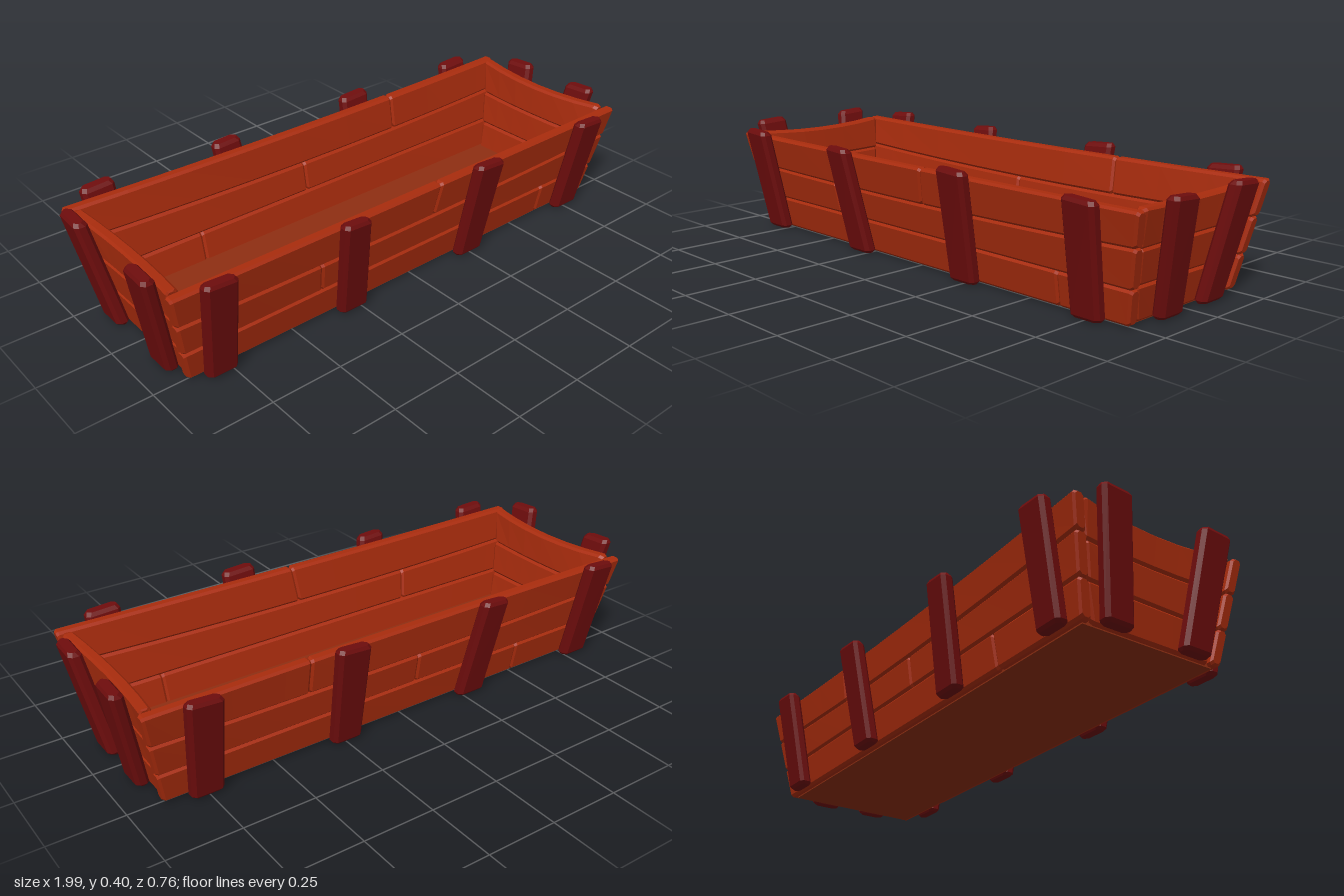
import * as THREE from 'three';

const plankRed = new THREE.MeshStandardMaterial({ color: 0xa92c0d });
const postRed = new THREE.MeshStandardMaterial({ color: 0x6f0d0d });
const floorBrown = new THREE.MeshStandardMaterial({ color: 0x8f2e12 });
plankRed.name = 'plank orange-red';
postRed.name = 'post dark red';
floorBrown.name = 'floor brown';

// Flat-shaded solid through a list of matching cross-sections, closed at both ends
function loft(rings) {
  const pos = [];
  const tri = (a, b, c) => pos.push(...a, ...b, ...c);
  const n = rings[0].length;
  for (let i = 0; i < rings.length - 1; i++) {
    for (let j = 0; j < n; j++) {
      const k = (j + 1) % n;
      tri(rings[i][j], rings[i][k], rings[i + 1][k]);
      tri(rings[i][j], rings[i + 1][k], rings[i + 1][j]);
    }
  }
  const first = rings[0], last = rings[rings.length - 1];
  for (let j = 1; j < n - 1; j++) {
    tri(first[0], first[j + 1], first[j]);
    tri(last[0], last[j], last[j + 1]);
  }
  const g = new THREE.BufferGeometry();
  g.setAttribute('position', new THREE.Float32BufferAttribute(pos, 3));
  g.computeVertexNormals();
  return g;
}

// Rectangle with cut corners, counter-clockwise
function octagon(p0, p1, q0, q1, b, inset) {
  p0 += inset; p1 -= inset; q0 += inset; q1 -= inset;
  return [[p1, q0 + b], [p1, q1 - b], [p1 - b, q1], [p0 + b, q1],
    [p0, q1 - b], [p0, q0 + b], [p0 + b, q0], [p1 - b, q0]];
}

function add(group, name, geometry, material) {
  const mesh = new THREE.Mesh(geometry, material);
  mesh.name = name;
  group.add(mesh);
}

// One plank between t0 and t1 (-1..1 along the wall)
function plank(wall, row, t0, t1) {
  const B = 0.008;
  const edges = [() => 0.004, wall.seam1, wall.seam2, wall.top];
  const len = t1 - t0, eps = B / wall.half;
  const stations = [[t0, B], [t0 + eps, 0]];
  for (let i = 1; i < 6; i++) stations.push([t0 + len * i / 6, 0]);
  stations.push([t1 - eps, 0], [t1, B]);
  return loft(stations.map(([t, inset]) => {
    const y0 = edges[row](t), y1 = edges[row + 1](t);
    return octagon(y0, y1, 0, 0.04, B, inset * 0.7).map(([y, w]) => {
      // joints lean a little, outer ends follow the flare of the trough
      const lean = Math.abs(t) < 0.99 ? 0.1 * (y - (y0 + y1) / 2) * (row - 1) : 0;
      const bow = wall.bow * (1 - t * t) * (y / 0.355) ** 2;
      return [t * (wall.half + wall.flare * y) + lean, y, wall.inner + wall.slope * y + w - bow];
    });
  }));
}

// One upright post, [bottom left, bottom right, top left, top right, height]
function post(wall, [b0, b1, t0, t1, h]) {
  const B = 0.012;
  const stations = [[0.003, B], [0.013, 0], [h - 0.012, 0], [h, B]];
  return loft(stations.map(([y, inset]) => {
    const f = y / h;
    const l = b0 + (t0 - b0) * f, r = b1 + (t1 - b1) * f, mid = (l + r) / 2;
    return octagon(0.038, 0.084, l, r, B, inset * 0.6).map(([w, u]) =>
      [u, y - 0.06 * f * (u - mid), wall.inner + wall.slope * y + w]);
  }));
}

function buildWall(wall) {
  const group = new THREE.Group();
  group.name = wall.name;
  wall.joints.forEach((joints, row) => {
    const cuts = [-1, ...joints, 1];
    for (let i = 0; i < cuts.length - 1; i++) {
      add(group, `plankRow${row + 1}Part${i + 1}`, plank(wall, row, cuts[i], cuts[i + 1]), plankRed);
    }
  });
  wall.posts.forEach((p, i) => add(group, `post${i + 1}`, post(wall, p), postRed));
  group.rotation.y = wall.turn;
  return group;
}

export function createModel() {
  const model = new THREE.Group();
  model.name = 'plankTrough';

  add(model, 'floor', new THREE.BoxGeometry(1.73, 0.02, 0.49).translate(0, 0.01, 0), floorBrown);

  const longSide = {
    half: 0.885, flare: 0.2, inner: 0.225, slope: 0.19,
    seam1: () => 0.118,
    seam2: t => 0.226 + 0.016 * t * t + 0.004 * t,
    top: t => 0.352 + 0.004 * t * t,
  };
  const endSide = {
    half: 0.22, flare: 0.19, inner: 0.835, slope: 0.2, bow: 0.02,
    seam1: t => 0.118 - 0.003 * t,
    seam2: t => 0.232 + 0.003 * t * t,
    top: t => 0.345 + 0.013 * t * t,
    joints: [[], [], []],
  };
  const longPosts = [
    [-0.84, -0.735, -0.87, -0.755, 0.38],
    [-0.335, -0.225, -0.37, -0.265, 0.375],
    [0.19, 0.3, 0.2, 0.32, 0.38],
    [0.7, 0.81, 0.715, 0.835, 0.372],
  ];
  const mirrored = longPosts.map(([a, b, c, d, h]) => [-b, -a, -d, -c, h]);

  const walls = [
    { ...longSide, name: 'frontWall', turn: 0, bow: 0.002, joints: [[0.7], [-0.44], [0.07]], posts: longPosts },
    { ...longSide, name: 'backWall', turn: Math.PI, bow: 0.014, joints: [[0.56], [0.05], [-0.41]], posts: mirrored },
    { ...endSide, name: 'leftEnd', turn: Math.PI / 2,
      posts: [[-0.155, -0.05, -0.21, -0.095, 0.38], [0.05, 0.155, 0.095, 0.21, 0.38]] },
    { ...endSide, name: 'rightEnd', turn: -Math.PI / 2,
      posts: [[-0.2, -0.095, -0.255, -0.142, 0.392], [0.09, 0.2, 0.138, 0.255, 0.392]] },
  ];
  walls.forEach(w => model.add(buildWall(w)));
  return model;
}
